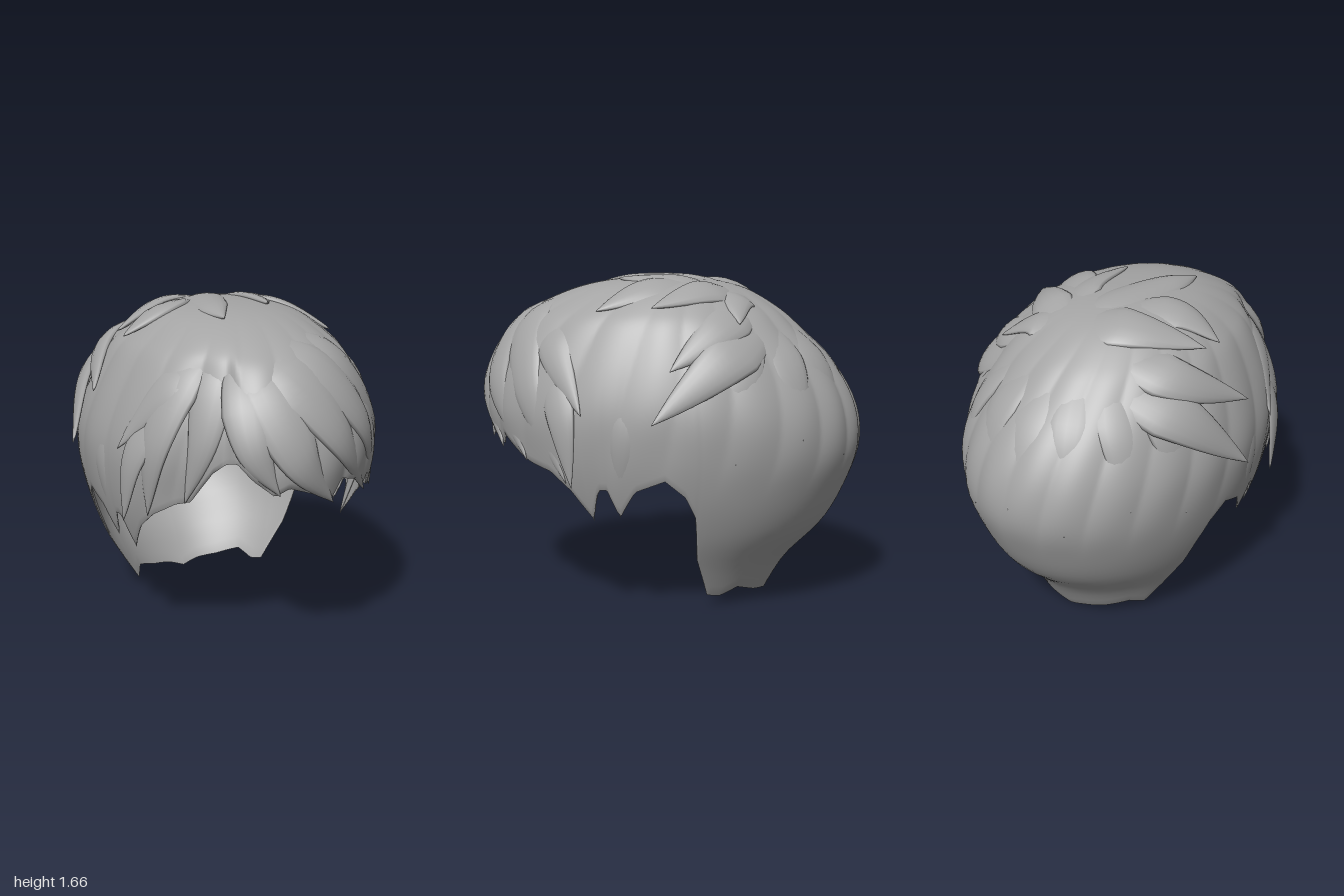
import * as THREE from 'three';

// Hair volume by level: height, half width, front depth, back depth
const LEVELS = [
  [1.65, 0, 0, 0], [1.635, 0.2, 0.28, 0.2], [1.59, 0.36, 0.5, 0.38], [1.5, 0.49, 0.71, 0.54],
  [1.4, 0.575, 0.84, 0.66], [1.2, 0.665, 0.96, 0.85], [1.0, 0.715, 0.99, 0.96], [0.8, 0.71, 0.95, 0.985],
  [0.6, 0.67, 0.9, 0.92], [0.4, 0.6, 0.8, 0.81], [0.2, 0.51, 0.7, 0.62], [0, 0.42, 0.6, 0.5],
];

// Hairline: angle from the front in degrees (positive to +x), height
const TEMPLE = [[58, 0.71], [65, 0.62], [71, 0.48], [75, 0.64], [78, 0.64], [81, 0.5], [87, 0.64], [96, 0.7], [102, 0.62]];
const NAPE = [[127, 0.05], [137, 0.09], [153, 0.05], [168, 0.03], [180, 0]];
const mirrored = (list) => list.map(([a, y]) => [-a, y]).reverse();
const HAIRLINE = [
  ...mirrored(NAPE), [-118, 0.19], [-109, 0.36], [-106, 0.5], ...mirrored(TEMPLE),
  [-50, 0.77], [-44, 0.79], [-36, 0.95], [-28, 1.03], [-22, 0.95], [-14, 0.87], [-9, 0.91], [2, 0.86], [10, 0.81],
  [15, 0.91], [25, 0.88], [32, 0.8], [36, 0.87], [46, 0.76], [50, 0.74],
  ...TEMPLE, [106, 0.5], [107, 0.38], [109, 0.28], [119, 0.06], ...NAPE,
];

const { lerp, clamp, smoothstep, degToRad } = THREE.MathUtils;
const LAST = LEVELS.length - 1;

function level(t) {
  const i = Math.min(Math.floor(t), LAST - 1), f = t - i;
  const at = (k) => LEVELS[clamp(k, 0, LAST)];
  return [0, 1, 2, 3].map((c) => {
    const p0 = at(i - 1)[c], p1 = at(i)[c], p2 = at(i + 1)[c], p3 = at(i + 2)[c];
    return p1 + 0.5 * f * (p2 - p0 + f * (2 * p0 - 5 * p1 + 4 * p2 - p3 + f * (3 * (p1 - p2) + p3 - p0)));
  });
}

// Level parameter at a given height
function levelAt(y) {
  let lo = 0, hi = LAST;
  for (let k = 0; k < 24; k++) {
    const mid = (lo + hi) / 2;
    if (level(mid)[0] > y) lo = mid; else hi = mid;
  }
  return lo;
}

function hairline(deg) {
  const i = clamp(HAIRLINE.findIndex(([a]) => a >= deg), 1, HAIRLINE.length - 1);
  const [a0, y0] = HAIRLINE[i - 1], [a1, y1] = HAIRLINE[i];
  return lerp(y0, y1, clamp((deg - a0) / (a1 - a0), 0, 1));
}

// Point on the hair volume, with combed grooves and a step at the parting
function surface(deg, t, inset = 0) {
  const [y, w, f, b] = level(t);
  const a = degToRad(deg), c = Math.cos(a);
  const fade = smoothstep(t, 1, 4) * (1 - smoothstep(t, 6, 8));
  const wave = Math.abs(Math.sin(11 * a + 0.5 * t)) - 0.6 + 0.3 * Math.sin(5 * a - 0.4 * t);
  const step = smoothstep(deg, -62, -42) * (1 - smoothstep(deg, -32, -27)) * smoothstep(t, 2.5, 5);
  const r = 1 + (inset ? 0 : 0.016 * wave * fade) - 0.09 * step - inset;
  return new THREE.Vector3(w * Math.sin(a) * r, y - inset * (1 - smoothstep(t, 2, 6)), (c > 0 ? f : b) * c * r);
}

function gridGeometry(rows, cols, point) {
  const pos = [], idx = [];
  for (let j = 0; j < rows; j++) for (let i = 0; i < cols; i++) pos.push(...point(i, j).toArray());
  for (let j = 0; j < rows - 1; j++) for (let i = 0; i < cols; i++) {
    const n = (i + 1) % cols, a = j * cols + i, b = j * cols + n;
    idx.push(a, a + cols, b, b, a + cols, b + cols);
  }
  const g = new THREE.BufferGeometry();
  g.setAttribute('position', new THREE.Float32BufferAttribute(pos, 3));
  g.setIndex(idx);
  g.computeVertexNormals();
  return g;
}

// Outer hair, rolled over the rim into the hollow inside
function shellGeometry() {
  const cols = 300, n = 44;
  const ends = Array.from({ length: cols }, (_, i) => levelAt(hairline(-180 + (i * 360) / cols)));
  return gridGeometry(2 * n, cols, (i, j) => {
    const inside = j >= n, s = (inside ? 2 * n - 1 - j : j) / (n - 1);
    const inset = inside ? lerp(0.06, 0.012, smoothstep(s, 0.5, 1)) : 0;
    return surface(-180 + (i * 360) / cols, Math.max(0.01, s * ends[i]), inset);
  });
}

const outward = (p) => new THREE.Vector3(p.x / 0.52, (p.y - 0.8) / 0.76, p.z).normalize();

// Pointed lock lying on the volume; path holds [angle, height] pairs from root to tip
function lockGeometry(path, width, thick, lift) {
  const curve = new THREE.CatmullRomCurve3(path.map(([a, y], k) => {
    const p = surface(a, levelAt(y));
    const u = k / (path.length - 1);
    return p.addScaledVector(outward(p), lerp(-thick * 1.1, lift, u));
  }));
  const rows = 26, cols = 14;
  return gridGeometry(rows, cols, (i, j) => {
    const u = j / (rows - 1), p = curve.getPoint(u), n = outward(p);
    const side = curve.getTangent(u).cross(n).normalize();
    const taper = Math.max(0.004, (1 - u ** 2.2) * (0.5 + 0.5 * Math.min(1, u * 2.5)));
    const th = (-i / cols) * Math.PI * 2;
    const s = Math.cos(th) * width * taper;
    return p.addScaledVector(side, s).addScaledVector(n, Math.sin(th) * thick * Math.sqrt(taper) - (s * s) / 1.4);
  });
}

// path, half width, thickness, tip lift
const LOCKS = {
  fringeLock: [
    [[[-25, 1.5], [-25, 1.3], [-22, 1.08], [-12, 0.87]], 0.14, 0.035, 0.0],
    [[[-25, 1.52], [-15, 1.33], [-5, 1.04], [11, 0.8]], 0.17, 0.032, 0.01],
    [[[-24, 1.54], [-2, 1.4], [14, 1.12], [33, 0.79]], 0.17, 0.032, 0.01],
    [[[-22, 1.55], [12, 1.44], [31, 1.15], [48, 0.75]], 0.17, 0.032, 0.01],
    [[[-20, 1.57], [30, 1.46], [50, 1.12], [64, 0.66]], 0.16, 0.03, 0.01],
    [[[-32, 1.52], [-38, 1.35], [-41, 1.08], [-46, 0.78]], 0.13, 0.03, 0.01],
    [[[-40, 1.53], [-53, 1.36], [-58, 1.05], [-60, 0.7]], 0.15, 0.03, 0.01],
  ],
  templeLock: [1, -1].flatMap((m) => [
    [[[m * 60, 1.3], [m * 67, 0.95], [m * 71, 0.47]], 0.09, 0.018, 0.0],
    [[[m * 86, 1.25], [m * 84, 0.9], [m * 81, 0.5]], 0.09, 0.018, 0.0],
    [[[m * 44, 1.48], [m * 58, 1.3], [m * 72, 1.0]], 0.12, 0.024, 0.015],
    [[[m * 55, 1.3], [m * 65, 0.98], [m * 68, 0.66]], 0.1, 0.022, 0.06],
  ]),
  sideLock: [
    [[[150, 1.45], [118, 1.27], [93, 0.97]], 0.16, 0.03, 0.075],
    [[[158, 1.55], [122, 1.42], [98, 1.21]], 0.14, 0.03, 0.03],
    [[[-150, 1.45], [-118, 1.27], [-94, 0.94]], 0.16, 0.03, 0.07],
    [[[-155, 1.55], [-118, 1.42], [-88, 1.21]], 0.14, 0.03, 0.05],
  ],
  crownLock: [
    [[[163, 1.59], [125, 1.585], [90, 1.49]], 0.13, 0.03, 0.03],
    [[[160, 1.57], [143, 1.54], [130, 1.42]], 0.11, 0.025, 0.02],
    [[[170, 1.61], [-140, 1.6], [-98, 1.48]], 0.16, 0.03, 0.03],
    [[[-150, 1.63], [-92, 1.6], [-88, 1.47]], 0.14, 0.03, 0.03],
    [[[160, 1.61], [-170, 1.64], [-45, 1.635], [-30, 1.6]], 0.14, 0.035, 0.01],
    [[[150, 1.61], [100, 1.635], [40, 1.63]], 0.12, 0.03, 0.01],
    [[[140, 1.62], [85, 1.6], [68, 1.48]], 0.14, 0.03, 0.015],
  ],
  backLock: [-64, -42, -20, 2, 24, 46, 66].map((d, k) =>
    [[[180 + d * 0.7, 1.5], [180 + d * 0.9, 1.22], [180 + d, 0.78 + 0.1 * (k % 2)]], 0.14, 0.024, 0.0]),
};

export function createModel() {
  const hair = new THREE.MeshStandardMaterial({ color: 0xa4a4a4, side: THREE.DoubleSide });
  hair.name = 'hair grey';
  const group = new THREE.Group();
  group.name = 'hair';
  const add = (name, geometry) => {
    const mesh = new THREE.Mesh(geometry, hair);
    mesh.name = name;
    group.add(mesh);
  };
  add('hairShell', shellGeometry());
  for (const [name, list] of Object.entries(LOCKS)) {
    list.forEach((spec, k) => add(name + (k + 1), lockGeometry(...spec)));
  }

  // Stand on the ground, centred front to back and side to side
  const box = new THREE.Box3().setFromObject(group);
  const mid = box.getCenter(new THREE.Vector3());
  group.children.forEach((m) => m.geometry.translate(-mid.x, -box.min.y, -mid.z));
  return group;
}
